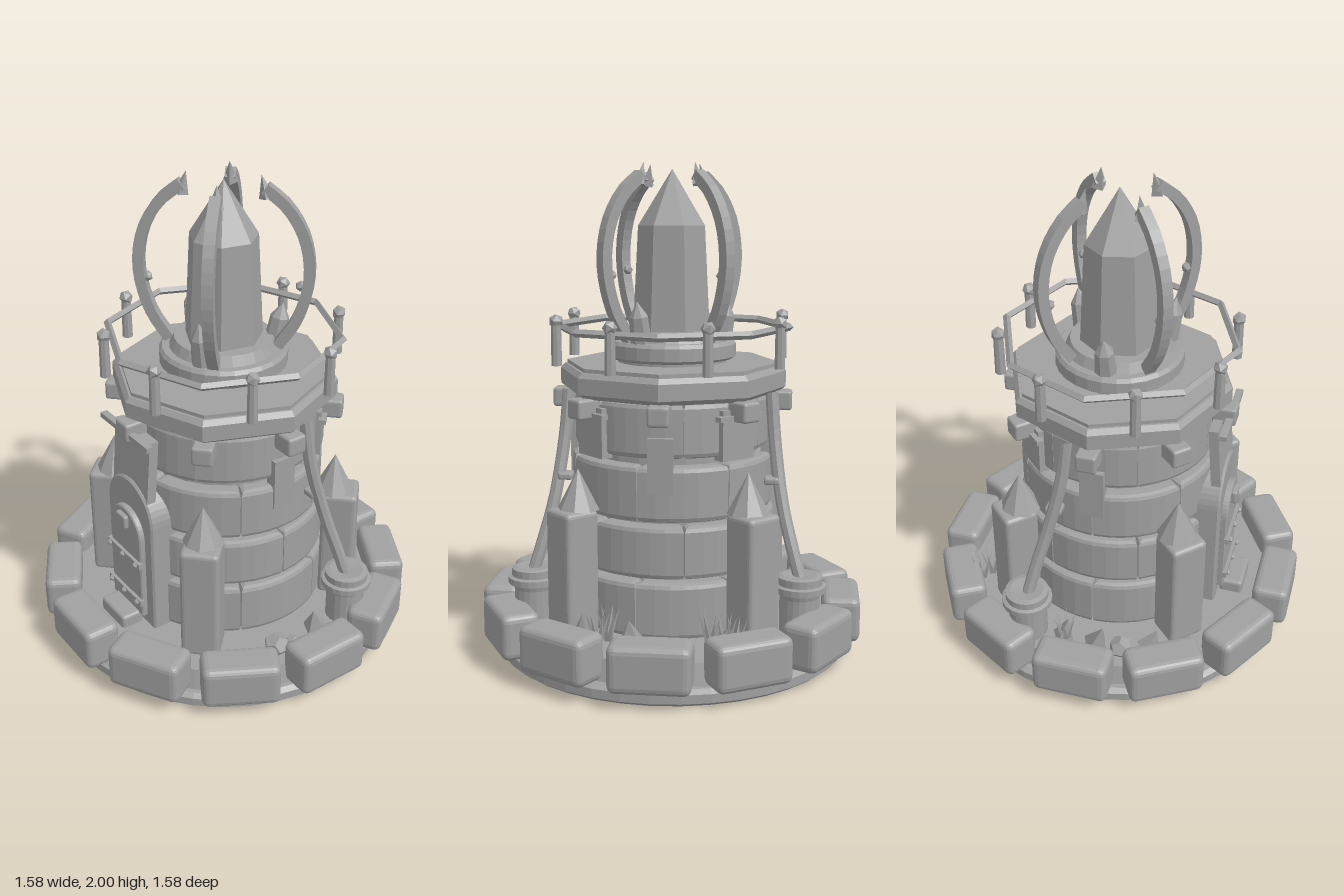
import * as THREE from 'three';
import { RoundedBoxGeometry } from 'three/addons/geometries/RoundedBoxGeometry.js';

const stone = new THREE.MeshStandardMaterial({ color: 0xa0a0a0, flatShading: true });
stone.name = 'stone grey';

const TAU = Math.PI * 2;
const V = (x, y, z) => new THREE.Vector3(x, y, z);

export function createModel() {
  const model = new THREE.Group();
  model.name = 'crystalTower';

  const add = (name, geo, x = 0, y = 0, z = 0, parent = model) => {
    const m = new THREE.Mesh(geo, stone);
    m.name = name;
    m.position.set(x, y, z);
    parent.add(m);
    return m;
  };
  // place a part at an angle around the tower, its +z side facing outwards
  const around = (name, geo, a, r, y) => {
    const m = add(name, geo, Math.sin(a) * r, y, Math.cos(a) * r);
    m.rotation.y = a;
    return m;
  };
  const lathe = (pts, n) => new THREE.LatheGeometry(pts.map(p => new THREE.Vector2(...p)), n);
  const rbox = (w, h, d, r) => new RoundedBoxGeometry(w, h, d, 2, r);
  const box = (w, h, d) => new THREE.BoxGeometry(w, h, d);

  // base disc and ring of kerb stones
  add('baseDisc', lathe([[0, 0], [0.71, 0], [0.73, 0.015], [0.73, 0.05], [0.71, 0.065],
    [0.69, 0.065], [0.67, 0.15], [0, 0.15]], 40));
  for (let i = 0; i < 12; i++) around('kerbStone', rbox(0.315, 0.185, 0.155, 0.03), i * TAU / 12, 0.71, 0.157);

  // tower core and staggered rows of curved bricks
  add('towerCore', new THREE.CylinderGeometry(0.35, 0.37, 0.97, 24), 0, 0.625, 0);
  const brickGeometry = (rOut, h, count) => {
    const half = Math.PI / count - 0.05, s = new THREE.Shape();
    s.absarc(0, 0, rOut - 0.02, -half, half, false);
    s.absarc(0, 0, 0.3, half, -half, true);
    s.closePath();
    const g = new THREE.ExtrudeGeometry(s, {
      depth: h - 0.04, curveSegments: 3, bevelSize: 0.02, bevelThickness: 0.02, bevelSegments: 2,
    });
    return g.rotateX(-Math.PI / 2).translate(0, 0.02, 0);
  };
  [[0.15, 0.225, 0.435], [0.39, 0.21, 0.425], [0.615, 0.22, 0.415], [0.865, 0.215, 0.4]].forEach(([y, h, r], row) => {
    const g = brickGeometry(r, h, 7);
    for (let i = 0; i < 7; i++) add('brick', g, 0, y, 0).rotation.y = (i + (row % 2) / 2) * TAU / 7;
  });

  // four corner buttresses with pointed caps
  for (let i = 0; i < 4; i++) {
    const a = Math.PI / 4 + i * Math.PI / 2;
    around('buttress', rbox(0.16, 0.51, 0.15, 0.02), a, 0.505, 0.395);
    around('buttressCap', new THREE.ConeGeometry(0.085, 0.165, 8), a, 0.475, 0.727);
  }

  // octagonal platform with corbels, posts and rail
  add('platform', lathe([[0, 1.08], [0.44, 1.08], [0.468, 1.1], [0.468, 1.165], [0.45, 1.185],
    [0.44, 1.185], [0.44, 1.2], [0, 1.2]], 8));
  for (let i = 0; i < 8; i++) {
    const a = i * TAU / 8;
    around('corbel', rbox(0.085, 0.08, 0.1, 0.012), a, 0.445, 1.045);
    const p = a + TAU / 16;
    around('railPost', new THREE.CylinderGeometry(0.02, 0.022, 0.18, 8), p, 0.483, 1.285);
    around('postBall', new THREE.IcosahedronGeometry(0.03, 0), p, 0.483, 1.375);
  }
  add('rail', new THREE.TorusGeometry(0.48, 0.016, 4, 8).rotateX(Math.PI / 2), 0, 1.343, 0);

  // pedestal and central crystal
  add('pedestal', lathe([[0, 1.19], [0.225, 1.19], [0.225, 1.21], [0.25, 1.215], [0.262, 1.225], [0.262, 1.275],
    [0.25, 1.29], [0.22, 1.29], [0.2, 1.33], [0, 1.33]], 28));
  const crystal = (r, h) => lathe([[0, 0], [r, 0], [r * 0.86, h * 0.66], [0, h]], 7);
  add('crystal', crystal(0.162, 0.66), 0, 1.315, 0);
  [[-0.2, 0, 0.17], [0.1, -0.18, 0.18], [0.1, 0.17, 0.2]].forEach(([x, z, h]) => {
    const c = add('smallCrystal', crystal(0.045, h), x, 1.28, z);
    c.rotation.set(z * 0.9, 0, -x * 0.9);
  });

  // four curved prongs, each a square section swept along an arc, with a barbed tip
  const prongPath = new THREE.CatmullRomCurve3([V(0, 1.3, 0.22), V(0, 1.42, 0.295), V(0, 1.6, 0.338),
    V(0, 1.76, 0.315), V(0, 1.88, 0.245), V(0, 1.95, 0.16)]);
  const section = new THREE.Shape([[-1, -1], [1, -1], [1, 1], [-1, 1]].map(([x, y]) => new THREE.Vector2(x * 0.022, y * 0.022)));
  const prongGeo = new THREE.ExtrudeGeometry(section, { steps: 16, extrudePath: prongPath, bevelEnabled: false });
  for (let i = 0; i < 4; i++) {
    const g = new THREE.Group();
    g.name = 'prong';
    g.rotation.y = Math.PI / 4 + i * Math.PI / 2;
    model.add(g);
    add('prongArc', prongGeo, 0, 0, 0, g);
    add('prongTip', new THREE.ConeGeometry(0.032, 0.09, 4), 0, 1.955, 0.155, g).rotation.x = -0.25;
    add('prongStud', new THREE.IcosahedronGeometry(0.022, 0), 0, 1.56, 0.305, g);
  }

  // arched door with straps, studs, grille and sill
  const arch = (w, h, rise, depth, bevel) => {
    const s = new THREE.Shape();
    s.moveTo(-w, 0);
    s.lineTo(w, 0);
    s.lineTo(w, h - rise);
    s.absellipse(0, h - rise, w, rise, 0, Math.PI, false, 0);
    s.closePath();
    return new THREE.ExtrudeGeometry(s, {
      depth, curveSegments: 10, bevelEnabled: bevel > 0, bevelSize: bevel, bevelThickness: bevel, bevelSegments: 1,
    });
  };
  add('doorFrame', arch(0.16, 0.655, 0.15, 0.13, 0.008), 0, 0.15, 0.335);
  add('door', arch(0.11, 0.48, 0.11, 0.02, 0.005), 0, 0.2, 0.474);
  for (const y of [0.27, 0.46]) {
    add('doorStrap', box(0.25, 0.025, 0.02), 0, y, 0.503);
    for (const x of [-0.1, 0, 0.1]) add('doorStud', new THREE.IcosahedronGeometry(0.014, 0), x, y, 0.515);
  }
  add('doorGrille', rbox(0.07, 0.06, 0.025, 0.008), 0, 0.63, 0.508);
  add('doorSill', rbox(0.18, 0.07, 0.1, 0.015), 0, 0.17, 0.53);

  // hanging above the door: bar and sloping panel
  add('frontPanel', box(0.26, 0.3, 0.04), 0, 0.88, 0.435).rotation.x = -0.08;
  add('frontBar', box(0.35, 0.022, 0.03), 0, 1.035, 0.47);
  // narrow panels on the sides and back, and a bar at the back corner
  for (const a of [0.5, 1, 1.5]) around('wallPanel', box(0.1, 0.22, 0.05), a * Math.PI, 0.395, 0.84);
  for (const a of [0.75, 1.25]) {
    around('cornerPanel', box(0.16, 0.2, 0.05), a * Math.PI, 0.39, 0.95);
    around('cornerBar', box(0.22, 0.02, 0.03), a * Math.PI, 0.42, 1.02);
  }

  // pipes running from the platform down into pots
  for (const s of [-1, 1]) {
    const path = new THREE.CatmullRomCurve3([V(s * 0.415, 1.09, -0.1), V(s * 0.43, 0.9, -0.12),
      V(s * 0.465, 0.65, -0.175), V(s * 0.51, 0.47, -0.22), V(s * 0.55, 0.33, -0.25)]);
    add('pipe', new THREE.TubeGeometry(path, 16, 0.026, 8));
    add('pipeClamp', rbox(0.06, 0.03, 0.07, 0.01), s * 0.42, 0.74, -0.155);
    add('pot', lathe([[0, 0.14], [0.08, 0.14], [0.08, 0.29], [0.085, 0.31], [0.105, 0.315], [0.105, 0.34],
      [0.09, 0.345], [0.09, 0.375], [0.07, 0.38], [0, 0.37]], 20), s * 0.54, 0, -0.25);
  }

  // shards, rocks and grass on the ground: x, z, radius, height
  [[0.1, -0.55, 0.07, 0.13], [-0.57, 0.07, 0.06, 0.13], [0.56, -0.07, 0.06, 0.11], [-0.5, 0.28, 0.05, 0.1],
    [-0.55, -0.08, 0.05, 0.12], [0.3, -0.5, 0.04, 0.13]].forEach(([x, z, r, h]) => {
    const c = add('shard', new THREE.ConeGeometry(r, h, 4), x, 0.15 + h / 2, z);
    c.rotation.set(z * 0.5, x * 9, -x * 0.5);
  });
  [[0.56, 0.13, 0.055], [-0.56, 0.16, 0.05], [0.58, 0.06, 0.03]].forEach(([x, z, r]) =>
    add('rock', new THREE.DodecahedronGeometry(r, 0), x, 0.17, z));
  [[-0.26, -0.52], [-0.2, -0.47], [0.23, -0.52], [-0.3, -0.55], [-0.56, -0.08], [0.2, -0.46]].forEach(([x, z], k) => {
    for (let i = 0; i < 6; i++) {
      const a = i * TAU / 6 + k;
      const b = add('grassBlade', new THREE.ConeGeometry(0.012, 0.15, 3),
        x + Math.cos(a) * 0.026, 0.22, z + Math.sin(a) * 0.026);
      b.rotation.set(Math.sin(a) * 0.3, 0, -Math.cos(a) * 0.3);
    }
  });

  return model;
}
